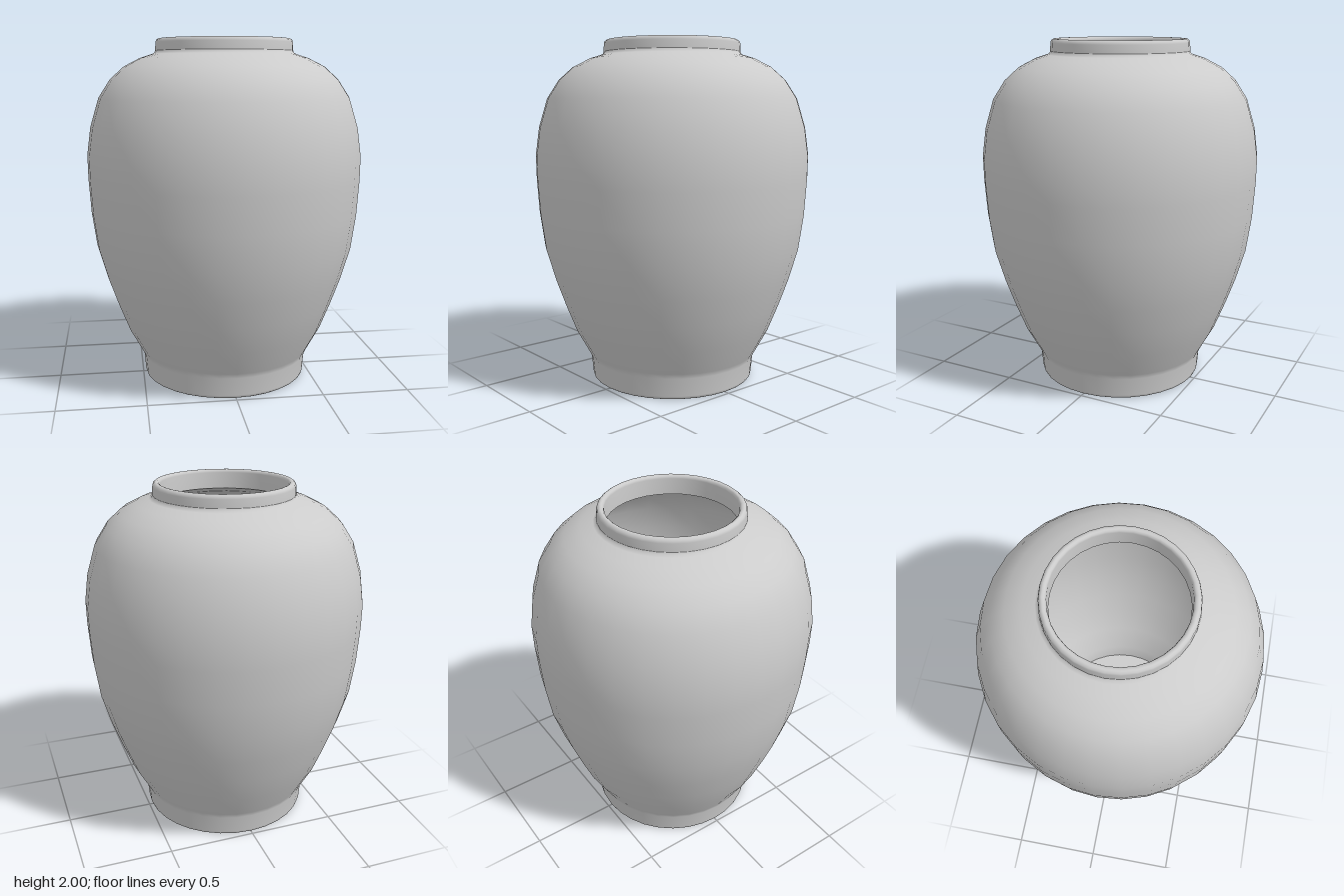
import * as THREE from 'three';

const SIDES = 32;
const material = new THREE.MeshStandardMaterial({ color: 0xcccccc });

// Revolve a list of [radius, height] pairs around the y axis
function turned(name, profile) {
  const points = profile.map(([r, y]) => new THREE.Vector2(r, y));
  const mesh = new THREE.Mesh(new THREE.LatheGeometry(points, SIDES), material);
  mesh.name = name;
  return mesh;
}

export function createModel() {
  const jar = new THREE.Group();
  jar.name = 'jar';

  // Outer wall, from the foot up to the shoulder and the neck
  const outer = [
    [0.47, 0], [0.479, 0.006], [0.484, 0.02], [0.493, 0.125], [0.505, 0.155],
    [0.587, 0.305], [0.65, 0.465], [0.705, 0.62], [0.757, 0.8], [0.785, 1.0],
    [0.798, 1.2], [0.8, 1.34], [0.778, 1.5], [0.728, 1.665], [0.66, 1.77],
    [0.58, 1.842], [0.487, 1.89], [0.418, 1.912], [0.404, 1.92], [0.399, 1.932],
  ];

  // Collar with softened edges, running over the lip into the mouth
  const collar = [
    [0.399, 1.932], [0.397, 1.978], [0.393, 1.991], [0.383, 1.999],
    [0.376, 2.0], [0.367, 1.999], [0.36, 1.993], [0.356, 1.982], [0.354, 1.89],
  ];

  // Inner wall follows the outer one at the thickness of the clay
  const inner = [
    [0.354, 1.89], [0.47, 1.85], [0.555, 1.804], [0.628, 1.738], [0.688, 1.643],
    [0.735, 1.49], [0.755, 1.335], [0.753, 1.2], [0.74, 1.005], [0.713, 0.812],
    [0.662, 0.635], [0.608, 0.48], [0.546, 0.324], [0.465, 0.17], [0.448, 0.05],
  ];

  jar.add(turned('outerWall', outer), turned('collar', collar), turned('innerWall', inner));

  // Flat underside and inside floor
  jar.add(turned('underside', [[0, 0], [0.47, 0]]));
  jar.add(turned('insideFloor', [[0.448, 0.05], [0, 0.05]]));

  return jar;
}
